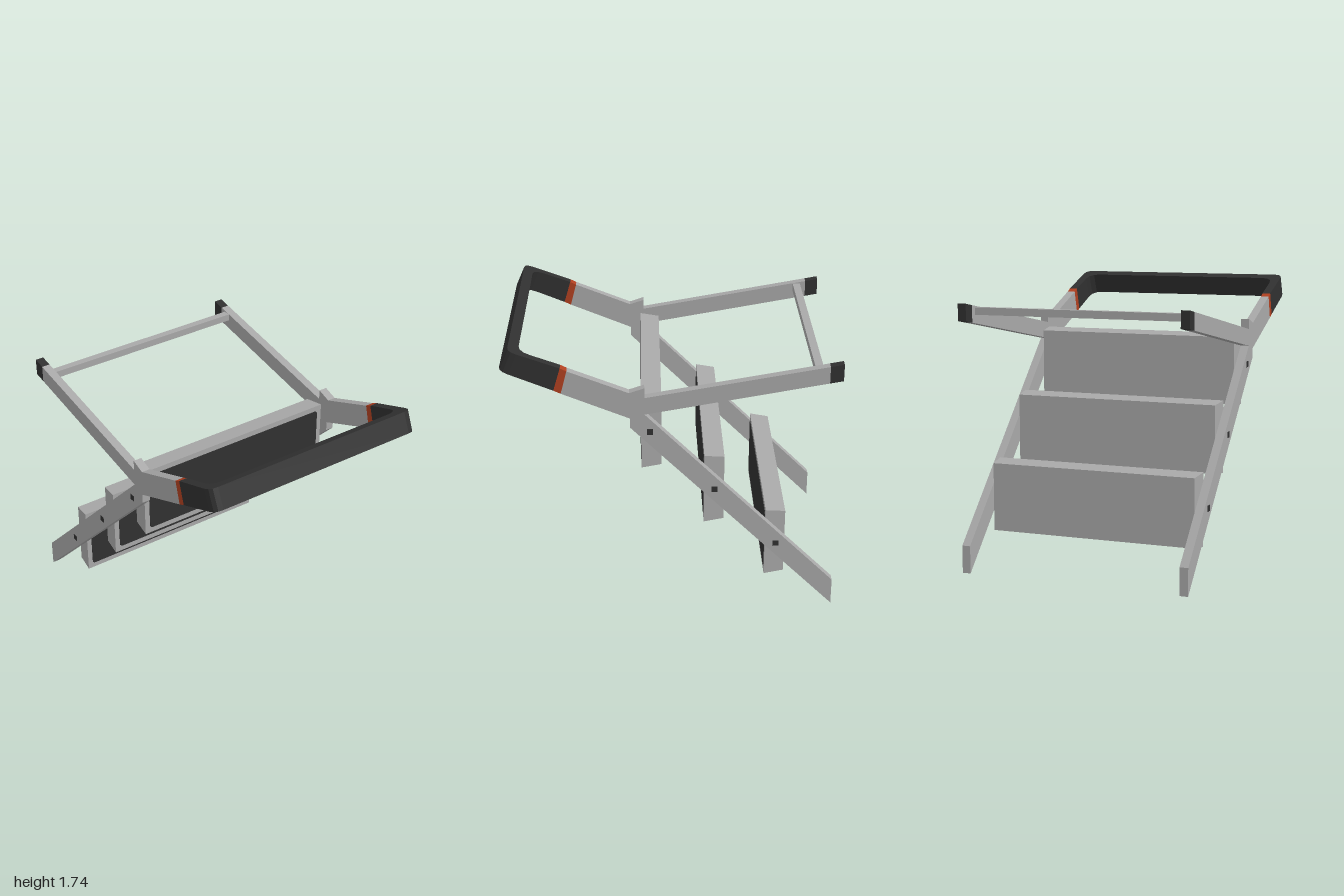
import * as THREE from 'three';

export function createModel() {
  const model = new THREE.Group();
  const grey = new THREE.MeshStandardMaterial({ name: 'grey metal', color: 0xa8a8a8 });
  const black = new THREE.MeshStandardMaterial({ name: 'black rubber', color: 0x303030 });
  const orange = new THREE.MeshStandardMaterial({ name: 'orange band', color: 0xb04020 });

  const OUT = 0.725, WIDE = 0.053; // outer x and width of the side tubes

  function add(name, geometry, material) {
    const mesh = new THREE.Mesh(geometry, material);
    mesh.name = name;
    model.add(mesh);
    return mesh;
  }

  // Extrudes a side outline of [z, y] points across x, ending at the given outer x
  function sideSlab(points, outer, width) {
    const shape = new THREE.Shape(points.map(([z, y]) => new THREE.Vector2(z, y)));
    const g = new THREE.ExtrudeGeometry(shape, { depth: width, bevelEnabled: false });
    return g.rotateY(-Math.PI / 2).translate(outer, 0, 0);
  }

  // Side frame: front rail, hinge, handle arm and rear leg
  const frame = [
    [0.245, 1.245], [0.245, 1.305], [0.646, 1.47], [0.608, 1.612], [0.25, 1.47], [0.16, 1.5],
    [0.16, 1.437], [-0.92, 1.626], [-0.92, 1.521], [0.16, 1.33], [-1, 0.17], [-1, 0],
  ];
  const band = [[0.646, 1.47], [0.688, 1.49], [0.646, 1.631], [0.608, 1.612]];
  const foot = [[-0.92, 1.521], [-0.92, 1.626], [-1, 1.64], [-1, 1.535]];
  const bolts = [[0.128, 1.217], [-0.258, 0.825], [-0.638, 0.443]];

  for (const [side, s] of [['left', 1], ['right', -1]]) {
    const outer = s > 0 ? OUT : WIDE - OUT;
    add(side + 'Frame', sideSlab(frame, outer, WIDE), grey);
    add(side + 'Band', sideSlab(band, outer, WIDE), orange);
    add(side + 'RearFoot', sideSlab(foot, outer, WIDE), black);
    bolts.forEach(([z, y], i) => {
      add(side + 'Bolt' + (i + 1), new THREE.BoxGeometry(0.006, 0.037, 0.037), black)
        .position.set(s * OUT, y, z);
    });
  }

  // Handle grip: U outline with rounded corners, laid along the sloping arms
  const L = 0.32, inX = OUT - WIDE, inU = L - 0.063, R = 0.055, r = 0.075;
  const u = new THREE.Shape();
  u.moveTo(-OUT, 0);
  u.lineTo(-inX, 0);
  u.lineTo(-inX, inU - r);
  u.quadraticCurveTo(-inX, inU, -inX + r, inU);
  u.lineTo(inX - r, inU);
  u.quadraticCurveTo(inX, inU, inX, inU - r);
  u.lineTo(inX, 0);
  u.lineTo(OUT, 0);
  u.lineTo(OUT, L - R);
  u.quadraticCurveTo(OUT, L, OUT - R, L);
  u.lineTo(-OUT + R, L);
  u.quadraticCurveTo(-OUT, L, -OUT, L - R);
  const grip = new THREE.ExtrudeGeometry(u, { depth: 1, bevelEnabled: false, curveSegments: 3 });
  const pos = grip.attributes.position, mix = THREE.MathUtils.lerp;
  for (let i = 0; i < pos.count; i++) {
    const a = pos.getY(i) / L, t = pos.getZ(i);
    const z = mix(mix(0.646, 0.946, a), mix(0.688, 1, a), t);
    const y = mix(mix(1.631, 1.74, a), mix(1.49, 1.618, a), t);
    pos.setXYZ(i, pos.getX(i), y, z);
  }
  grip.computeVertexNormals();
  add('handleGrip', grip, black);

  // Cross bar between the rear legs
  add('rearCrossBar', new THREE.BoxGeometry(2 * inX, 0.045, 0.048), grey)
    .position.set(0, 1.588, -0.86);

  // Steps: trays that narrow to the back, each with a black tread
  const tread = new THREE.Shape();
  const w = 0.64, h = 0.192, c = 0.012;
  tread.setFromPoints([
    [-w + c, -h], [w - c, -h], [w, -h + c], [w, h - c],
    [w - c, h], [-w + c, h], [-w, h - c], [-w, -h + c],
  ].map(([x, y]) => new THREE.Vector2(x, y)));
  [[0.12, 1.178], [-0.258, 0.798], [-0.638, 0.418]].forEach(([z, y], i) => {
    const g = new THREE.BoxGeometry(1.346, 0.455, 0.122);
    const p = g.attributes.position;
    for (let k = 0; k < p.count; k++) {
      if (p.getZ(k) < 0) p.setXY(k, p.getX(k) * 0.978, p.getY(k) * 0.934);
    }
    const flat = g.toNonIndexed();
    flat.computeVertexNormals();
    add('step' + (i + 1), flat, grey).position.set(0, y, z);
    add('tread' + (i + 1), new THREE.ExtrudeGeometry(tread, { depth: 0.004, bevelEnabled: false }), black)
      .position.set(0, y, z + 0.06);
  });

  return model;
}
